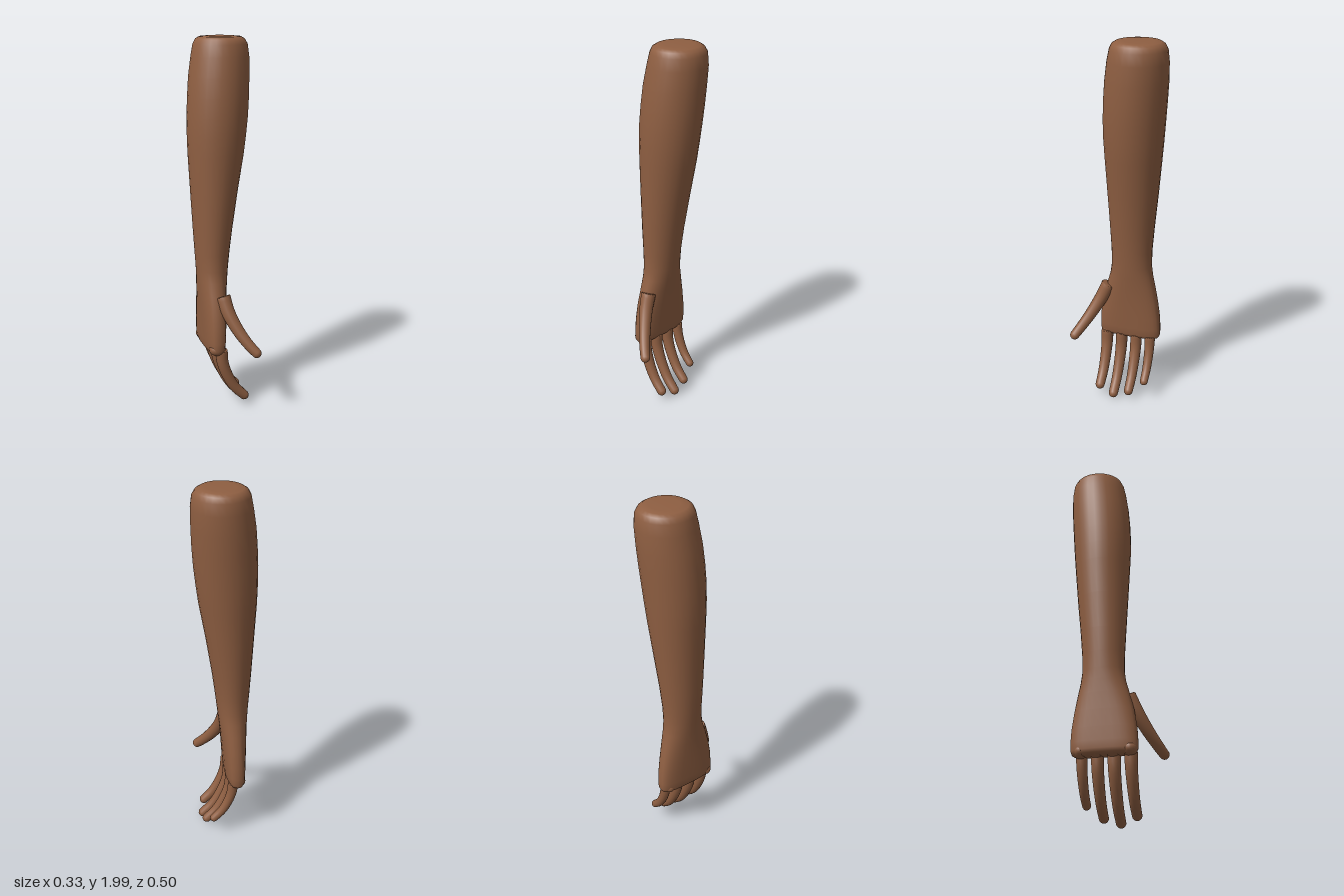
import * as THREE from 'three';

const SEG = 28;

// Closed smooth skin through equally sized rings of points
function loft(rings) {
  const pos = [], idx = [], n = rings[0].length;
  rings.forEach(r => r.forEach(p => pos.push(p.x, p.y, p.z)));
  for (let i = 0; i < rings.length - 1; i++) {
    for (let j = 0; j < n; j++) {
      const a = i * n + j, b = i * n + (j + 1) % n;
      idx.push(a, b, a + n, b, b + n, a + n);
    }
  }
  // End caps around a centre point
  [0, rings.length - 1].forEach(i => {
    const c = new THREE.Vector3();
    rings[i].forEach(p => c.addScaledVector(p, 1 / n));
    const k = pos.length / 3;
    pos.push(c.x, c.y, c.z);
    for (let j = 0; j < n; j++) {
      const a = i * n + j, b = i * n + (j + 1) % n;
      if (i === 0) idx.push(k, b, a); else idx.push(k, a, b);
    }
  });
  const g = new THREE.BufferGeometry();
  g.setAttribute('position', new THREE.Float32BufferAttribute(pos, 3));
  g.setIndex(idx);
  g.computeVertexNormals();
  return g;
}

// Horizontal superellipse between x and z limits; power 2 is an ellipse
function section([y, x0, x1, z0, z1, power]) {
  const ring = [];
  const round = v => Math.sign(v) * Math.pow(Math.abs(v), 2 / power);
  for (let j = 0; j < SEG; j++) {
    const a = j / SEG * Math.PI * 2;
    ring.push(new THREE.Vector3(
      (x0 + x1) / 2 + (x1 - x0) / 2 * round(Math.cos(a)), y,
      (z0 + z1) / 2 + (z1 - z0) / 2 * round(Math.sin(a))));
  }
  return ring;
}

// Tapered curved digit with a rounded tip
function digit(points, r0, r1) {
  const curve = new THREE.CatmullRomCurve3(points.map(p => new THREE.Vector3(...p)));
  const steps = 14, sides = 16, rings = [];
  const frames = curve.computeFrenetFrames(steps, false);
  const addRing = (c, r, i) => {
    const ring = [];
    for (let j = 0; j < sides; j++) {
      const a = j / sides * Math.PI * 2;
      ring.push(c.clone()
        .addScaledVector(frames.normals[i], r * Math.cos(a))
        .addScaledVector(frames.binormals[i], r * Math.sin(a)));
    }
    rings.push(ring);
  };
  addRing(curve.getPointAt(0), r0 * 0.93, 0);
  for (let i = 0; i <= steps; i++) {
    const t = i / steps;
    addRing(curve.getPointAt(Math.max(t, 0.015)), r0 + (r1 - r0) * t, i);
  }
  for (let k = 1; k <= 5; k++) {
    const a = k / 5 * Math.PI * 0.47;
    const c = curve.getPointAt(1).addScaledVector(frames.tangents[steps], r1 * Math.sin(a));
    addRing(c, r1 * Math.cos(a), steps);
  }
  return loft(rings);
}

export function createModel() {
  const model = new THREE.Group();
  const skin = new THREE.MeshStandardMaterial({ color: 0x8f5f42 });
  skin.name = 'brown skin';
  const add = (name, geometry) => {
    const mesh = new THREE.Mesh(geometry, skin);
    mesh.name = name;
    model.add(mesh);
    return mesh;
  };

  // Forearm, wrist and palm: y, x limits, z limits, squareness
  add('forearmAndPalm', loft([
    [2.0, -0.05, 0.09, -0.18, -0.03, 2],
    [1.997, -0.09, 0.125, -0.215, 0.01, 2],
    [1.985, -0.11, 0.145, -0.234, 0.03, 2],
    [1.96, -0.123, 0.16, -0.247, 0.042, 2],
    [1.9, -0.135, 0.167, -0.253, 0.055, 2],
    [1.8, -0.151, 0.165, -0.25, 0.07, 2],
    [1.7, -0.16, 0.161, -0.243, 0.079, 2],
    [1.6, -0.166, 0.154, -0.235, 0.084, 2],
    [1.5, -0.167, 0.143, -0.227, 0.084, 2],
    [1.4, -0.165, 0.13, -0.218, 0.08, 2],
    [1.2, -0.155, 0.095, -0.199, 0.072, 2],
    [1.0, -0.145, 0.064, -0.178, 0.063, 2],
    [0.87, -0.137, 0.047, -0.167, 0.057, 2],
    [0.78, -0.13, 0.037, -0.165, 0.056, 2.05],
    [0.72, -0.126, 0.03, -0.172, 0.065, 2.15],
    [0.65, -0.122, 0.021, -0.186, 0.085, 2.3],
    [0.56, -0.118, 0.012, -0.202, 0.108, 2.5],
    [0.47, -0.115, 0.005, -0.214, 0.122, 2.7],
    [0.4, -0.112, 0.0, -0.218, 0.126, 2.8],
    [0.36, -0.11, -0.004, -0.217, 0.126, 2.8],
    [0.342, -0.104, -0.012, -0.21, 0.119, 2.7],
    [0.332, -0.09, -0.028, -0.195, 0.104, 2.5],
  ].map(section)));

  // Fingers curl toward +x: name, z, tip height, tip x, radius
  [
    ['index', 0.085, 0.064, 0.095, 0.034],
    ['middle', 0.0, 0.035, 0.112, 0.034],
    ['ring', -0.085, 0.06, 0.1, 0.033],
    ['little', -0.166, 0.12, 0.07, 0.029],
  ].forEach(([name, z, tipY, tipX, r]) => {
    const at = (x, f) => [x, 0.35 + (tipY - 0.35) * f, z];
    add(name + 'Finger', digit([
      at(-0.037, 0), at(-0.03, 0.25), at(-0.037 + (tipX + 0.037) * 0.28, 0.55),
      at(-0.037 + (tipX + 0.037) * 0.62, 0.82), [tipX, tipY, z],
    ], r, r * 0.76));
    // Knuckle bulge along the lower edge of the palm
    const knuckle = add(name + 'Knuckle', new THREE.SphereGeometry(1, 18, 12));
    knuckle.scale.set(0.045, 0.036, r * 1.15);
    knuckle.position.set(-0.06, 0.358, z);
  });

  // Thumb set on the front edge of the palm
  add('thumb', digit([
    [-0.023, 0.65, 0.07], [-0.005, 0.57, 0.107],
    [0.035, 0.48, 0.155], [0.08, 0.41, 0.198], [0.114, 0.37, 0.225],
  ], 0.04, 0.026));

  return model;
}
